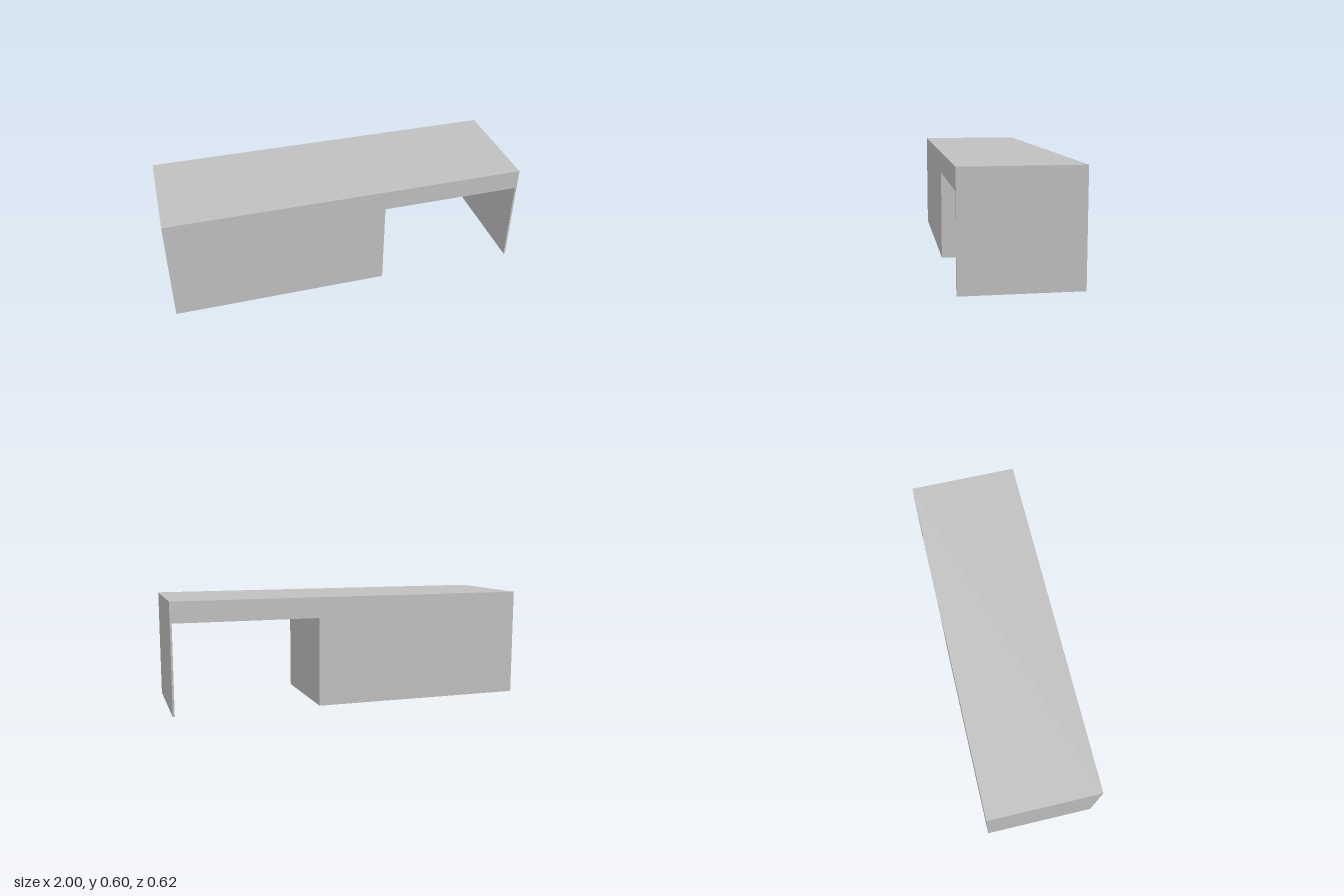
import * as THREE from 'three';

const DEPTH = 0.617;
const HEIGHT = 0.6;
const TOP_THICKNESS = 0.018;

export function createModel() {
  const desk = new THREE.Group();
  desk.name = 'desk';
  const grey = new THREE.MeshStandardMaterial({ color: 0xc0c0c0 });
  grey.name = 'plain grey';

  // Full-depth box given by its x and y limits
  const slab = (name, x0, x1, y0, y1) => {
    const mesh = new THREE.Mesh(new THREE.BoxGeometry(x1 - x0, y1 - y0, DEPTH), grey);
    mesh.name = name;
    mesh.position.set((x0 + x1) / 2, (y0 + y1) / 2, 0);
    desk.add(mesh);
  };

  const underTop = HEIGHT - TOP_THICKNESS;
  slab('desktop', -1, 1, underTop, HEIGHT);
  // Solid cabinet on the right-hand side
  slab('cabinet', -1, 0.205, 0, underTop);
  // Drawer box over the knee space
  slab('drawer', 0.205, 0.99, 0.487, underTop);
  // Thin supporting end panel
  slab('endPanel', 0.99, 1, 0, underTop);

  return desk;
}
